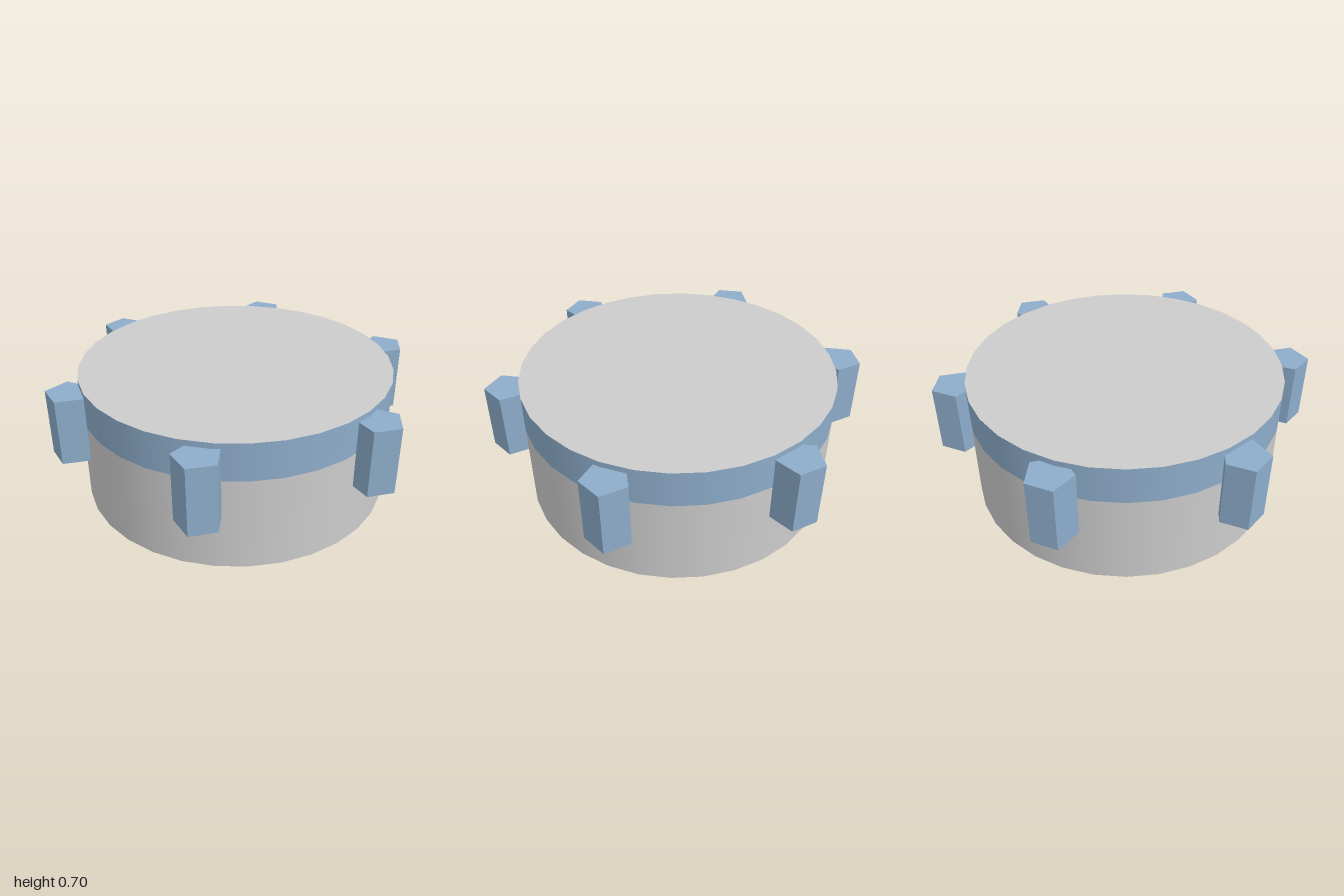
import * as THREE from 'three';

const SIDES = 32;
const RADIUS = 0.835;
const HEIGHT = 0.7;
const BAND_BOTTOM = 0.5;
const CENTER_X = -0.0115;

export function createModel() {
  const grey = new THREE.MeshStandardMaterial({ color: 0xcccccc });
  const blue = new THREE.MeshStandardMaterial({ color: 0x8dacca });
  const pegBlue = new THREE.MeshStandardMaterial({ color: 0x8dacca, flatShading: true });

  const model = new THREE.Group();
  model.name = 'peggedDrum';

  const add = (name, geometry, material, x, y, z) => {
    const mesh = new THREE.Mesh(geometry, material);
    mesh.name = name;
    mesh.position.set(x, y, z);
    model.add(mesh);
    return mesh;
  };

  // Smooth wall between two heights, open at both ends
  const addWall = (name, y0, y1, material) =>
    add(name, new THREE.CylinderGeometry(RADIUS, RADIUS, y1 - y0, SIDES, 1, true),
      material, CENTER_X, (y0 + y1) / 2, 0);

  // Drum: grey lower wall, blue upper band
  addWall('drumWall', 0, BAND_BOTTOM, grey);
  addWall('upperBand', BAND_BOTTOM, HEIGHT, blue);

  // Flat grey discs closing the drum
  const disc = new THREE.CircleGeometry(RADIUS, SIDES);
  add('topDisc', disc, grey, CENTER_X, HEIGHT, 0).rotation.x = -Math.PI / 2;
  add('bottomDisc', disc, grey, CENTER_X, 0, 0).rotation.x = Math.PI / 2;

  // Six five-sided pegs around the rim, all pointing towards +x
  const pegGeometry = new THREE.CylinderGeometry(0.12, 0.12, 0.36, 5, 1, false, Math.PI / 2);
  const ringRadius = 0.8915;
  for (let i = 0; i < 6; i++) {
    const angle = (i * Math.PI) / 3;
    add(`peg${i + 1}`, pegGeometry, pegBlue,
      CENTER_X + ringRadius * Math.cos(angle), 0.49, ringRadius * Math.sin(angle));
  }

  return model;
}
